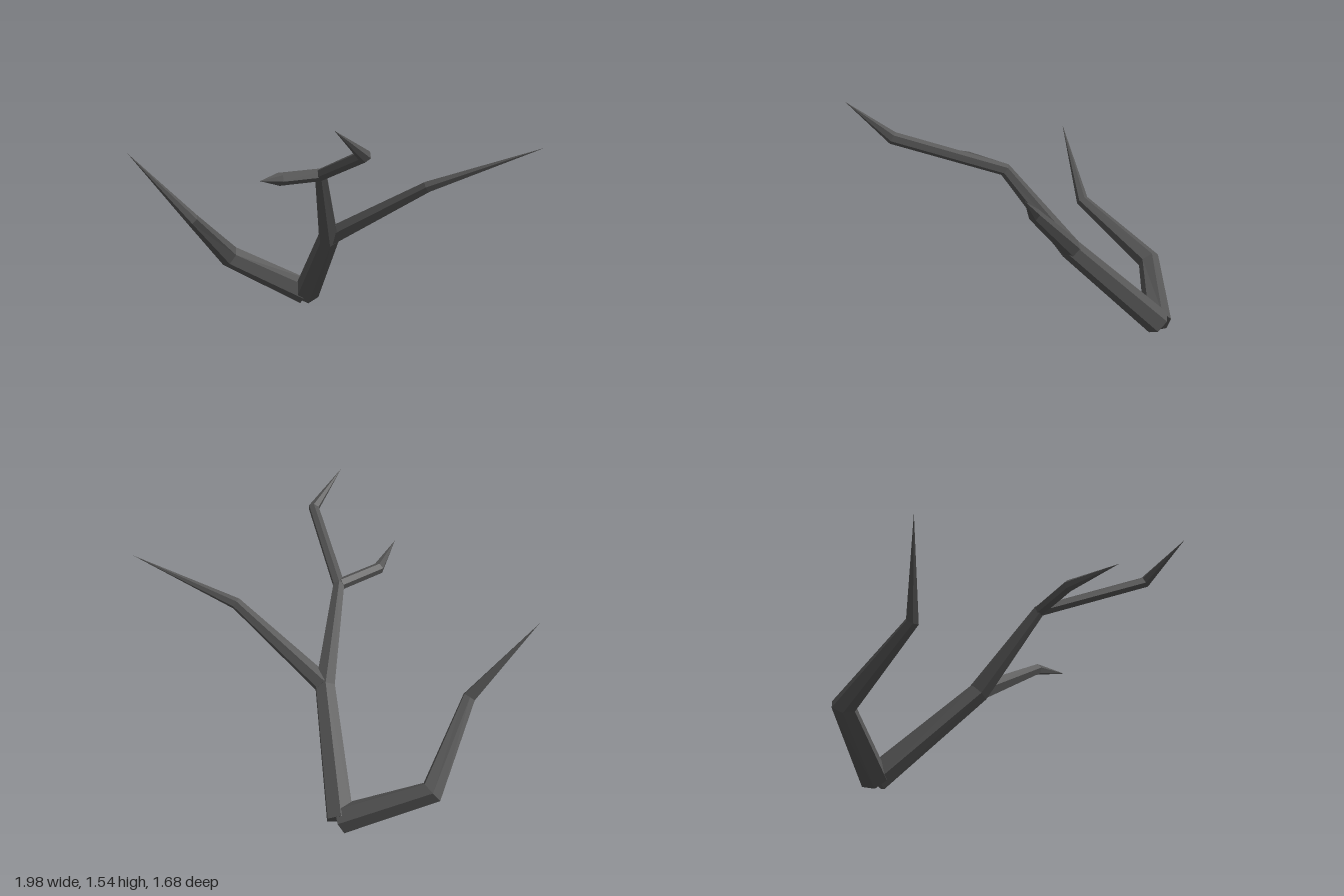
import * as THREE from 'three';

const SIDES = 6;
const bark = new THREE.MeshStandardMaterial({ color: 0x555555, flatShading: true });

// Faceted limb through nodes [x, y, z, radius]; rings sit on the bisecting plane of each bend.
// The first end is capped, the last node is a sharp tip when its radius is 0.
function limb(name, nodes, twist = 0.2) {
  const pts = nodes.map(([x, y, z]) => new THREE.Vector3(x, y, z));
  const last = pts.length - 1;
  const dir = (i) => pts[i + 1].clone().sub(pts[i]).normalize();
  const pos = [];
  const index = [];
  const normal = new THREE.Vector3(0, 0, 1);

  pts.forEach((p, i) => {
    const t = dir(Math.min(i, last - 1));
    if (i > 0 && i < last) t.add(dir(i - 1)).normalize();
    // carry the ring direction along without twisting
    normal.addScaledVector(t, -normal.dot(t)).normalize();
    const side = t.clone().cross(normal);
    for (let s = 0; s < SIDES; s++) {
      const a = twist + (s / SIDES) * Math.PI * 2;
      const v = p.clone()
        .addScaledVector(normal, Math.cos(a) * nodes[i][3])
        .addScaledVector(side, Math.sin(a) * nodes[i][3]);
      pos.push(v.x, v.y, v.z);
    }
  });

  for (let i = 0; i < last; i++) {
    for (let s = 0; s < SIDES; s++) {
      const n = (s + 1) % SIDES;
      const a = i * SIDES + s, b = i * SIDES + n;
      const c = a + SIDES, d = b + SIDES;
      index.push(a, b, c);
      if (nodes[i + 1][3] > 0) index.push(b, d, c);
    }
  }
  // start cap
  for (let s = 1; s < SIDES - 1; s++) index.push(0, s + 1, s);

  const geo = new THREE.BufferGeometry();
  geo.setAttribute('position', new THREE.Float32BufferAttribute(pos, 3));
  geo.setIndex(index);
  geo.computeVertexNormals();
  const mesh = new THREE.Mesh(geo, bark);
  mesh.name = name;
  return mesh;
}

export function createModel() {
  const branch = new THREE.Group();
  branch.name = 'bareBranch';
  branch.add(
    // main stem, bending up and out to the long upper twig
    limb('mainStem', [
      [-0.595, 0.085, -0.31, 0.085],
      [-0.05, 0.635, -0.085, 0.065],
      [0.23, 1.12, 0.18, 0.038],
      [0.87, 1.37, 0.38, 0.036],
      [0.99, 1.55, 0.66, 0],
    ]),
    // crooked limb leaving the foot of the stem
    limb('lowerLimb', [
      [-0.6, 0.085, -0.305, 0.085],
      [-0.925, 0.325, 0.085, 0.073],
      [-0.697, 0.7, 0.49, 0.04],
      [-0.84, 1.14, 0.84, 0],
    ]),
    // limb reaching backwards from the fork
    limb('rearLimb', [
      [-0.045, 0.645, -0.095, 0.06],
      [0.5, 1.02, -0.38, 0.036],
      [0.96, 1.27, -0.84, 0],
    ]),
    // short twig at the upper fork
    limb('shortTwig', [
      [0.23, 1.12, 0.19, 0.036],
      [0.265, 1.145, 0.49, 0.036],
      [0.46, 1.21, 0.74, 0],
    ]),
  );
  return branch;
}
